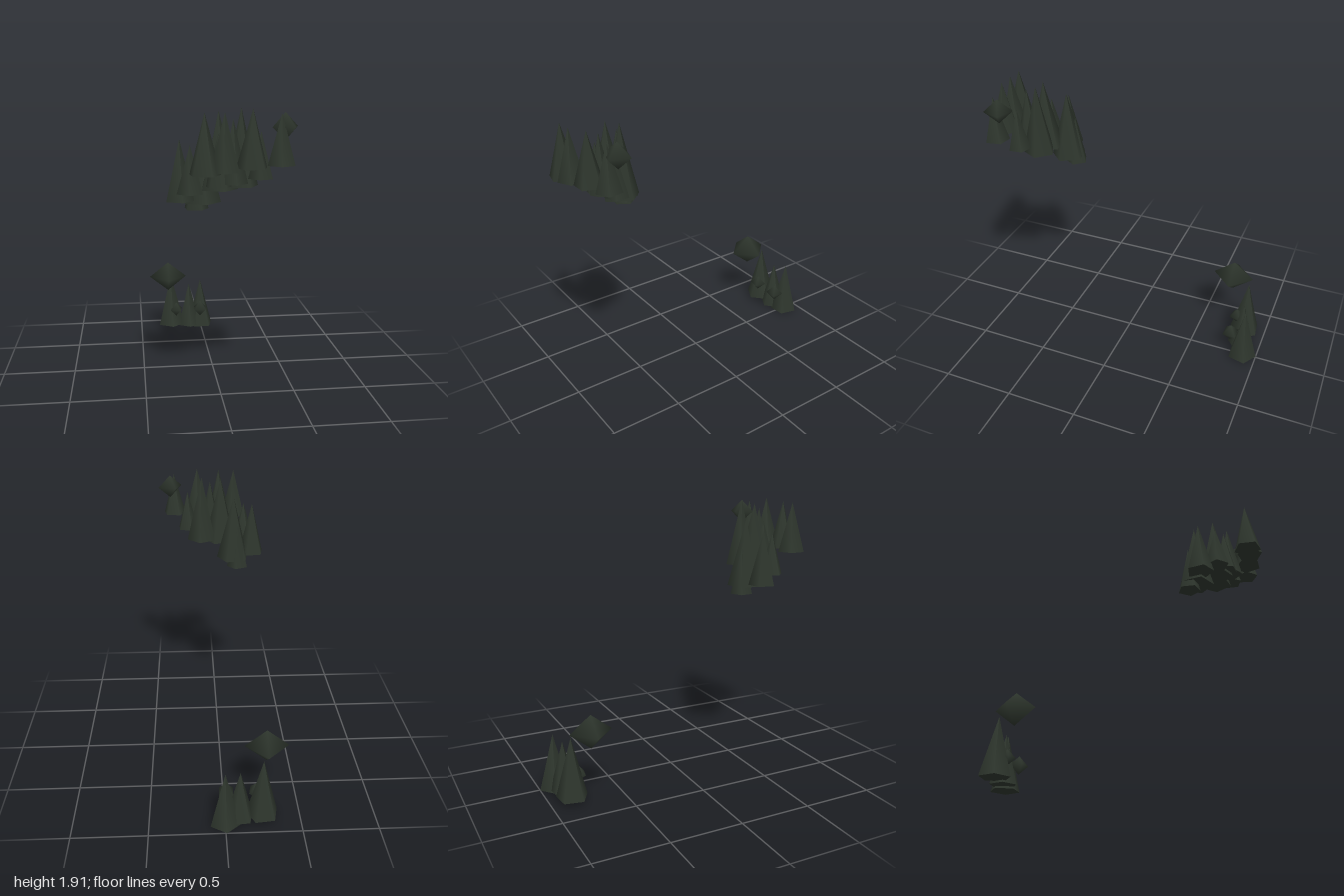
import * as THREE from 'three';

export function createModel() {
  const model = new THREE.Group();
  const darkGreen = new THREE.MeshStandardMaterial({ color: 0x2e362d });

  // Five-sided conifer standing on baseY
  function tree(parent, x, z, baseY, topY, radius, turn) {
    const h = topY - baseY;
    const mesh = new THREE.Mesh(new THREE.ConeGeometry(radius, h, 5), darkGreen);
    mesh.name = 'coniferTree';
    mesh.position.set(x, baseY + h / 2, z);
    mesh.rotation.y = turn;
    parent.add(mesh);
  }

  // Eight-faced, smooth-shaded bush or boulder
  function bush(parent, x, y, z, radius, height, turn) {
    const mesh = new THREE.Mesh(new THREE.SphereGeometry(radius, 4, 2), darkGreen);
    mesh.name = 'bush';
    mesh.scale.y = height / radius;
    mesh.position.set(x, y, z);
    mesh.rotation.y = turn;
    parent.add(mesh);
  }

  // Low grove at the back: x, z, base, top, radius, turn
  const lowGrove = new THREE.Group();
  lowGrove.name = 'lowGrove';
  [
    [-0.25, -0.85, 0.03, 0.45, 0.11, 0.12],
    [-0.10, -0.86, 0.015, 0.37, 0.095, 0.1],
    [0.0, -0.895, 0.0, 0.39, 0.105, 0.7],
  ].forEach((t) => tree(lowGrove, ...t));
  bush(lowGrove, -0.28, 0.48, -0.72, 0.147, 0.117, 0);
  bush(lowGrove, -0.21, 0.17, -0.79, 0.06, 0.058, 0.6);
  bush(lowGrove, -0.01, 0.17, -0.795, 0.066, 0.065, 0.75);

  // High grove at the front, rising towards +z
  const highGrove = new THREE.Group();
  highGrove.name = 'highGrove';
  [
    [-0.16, 0.48, 1.27, 1.6, 0.08, 0.4],
    [-0.13, 0.525, 1.32, 1.785, 0.122, 0.17],
    [-0.27, 0.58, 1.34, 1.715, 0.095, 0.15],
    [-0.215, 0.69, 1.40, 1.69, 0.083, -0.15],
    [-0.04, 0.65, 1.42, 1.885, 0.12, 0.2],
    [0.1, 0.63, 1.435, 1.905, 0.11, 0.45],
    [-0.05, 0.725, 1.445, 1.76, 0.085, 0.5],
    [0.035, 0.74, 1.465, 1.845, 0.09, 0.15],
    [0.205, 0.725, 1.49, 1.77, 0.078, -0.25],
    [-0.15, 0.9, 1.54, 1.89, 0.096, 0.4],
    [-0.035, 0.9, 1.555, 1.89, 0.09, -0.18],
    [0.13, 0.865, 1.57, 1.91, 0.096, 0.63],
    [0.305, 0.83, 1.58, 1.88, 0.085, -0.13],
  ].forEach((t) => tree(highGrove, ...t));
  bush(highGrove, 0.335, 1.80, 0.78, 0.095, 0.083, 0.47);

  model.add(lowGrove, highGrove);
  return model;
}
